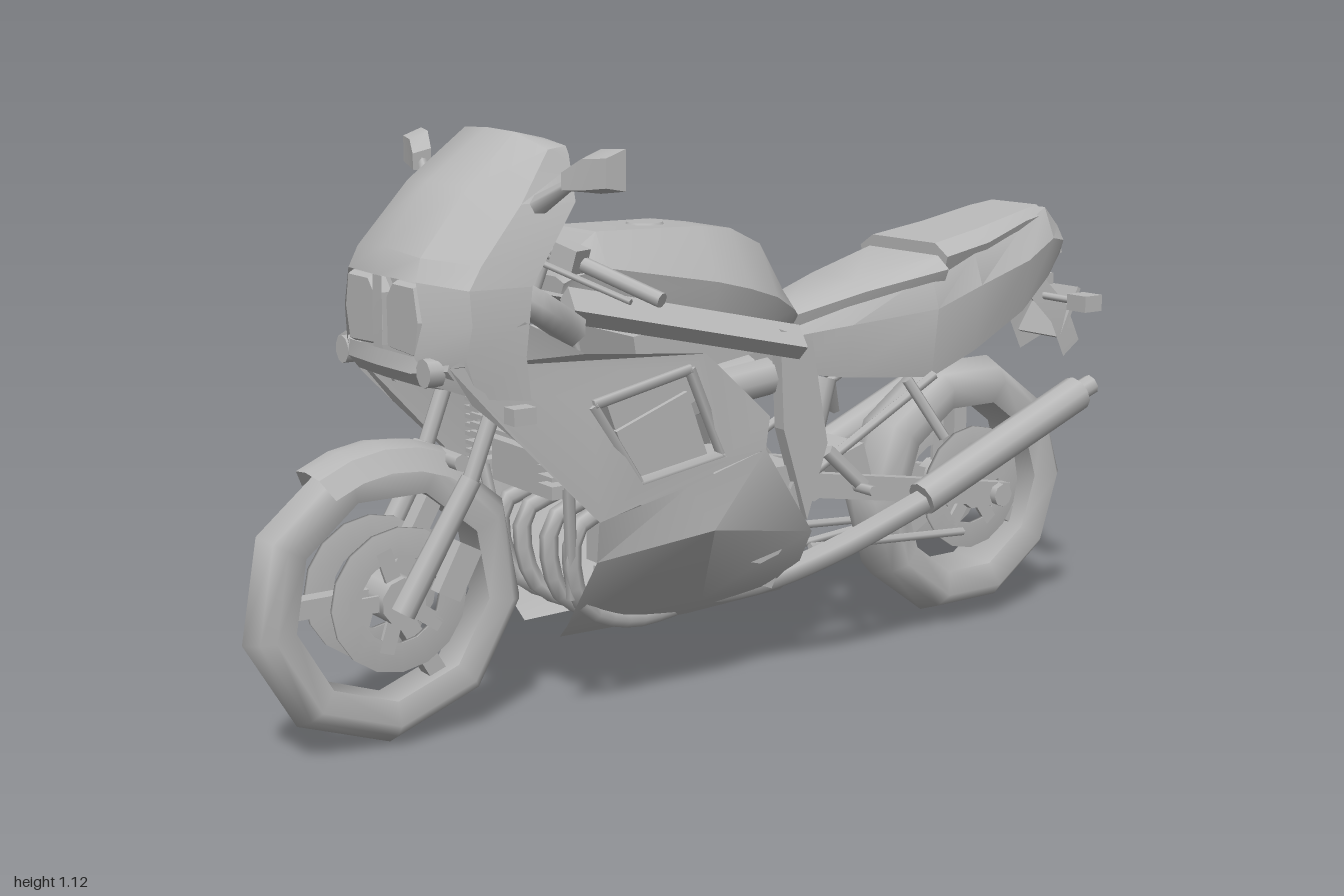
import * as THREE from 'three';
import { toCreasedNormals } from 'three/addons/utils/BufferGeometryUtils.js';

const grey = new THREE.MeshStandardMaterial({ color: 0xb8b8b8, side: THREE.DoubleSide });
grey.name = 'plain grey';
const V = (p) => new THREE.Vector3(...p);

export function createModel() {
  const root = new THREE.Group();
  root.name = 'motorcycle';

  const add = (name, geo, pos = [0, 0, 0], rot = [0, 0, 0], parent = root) => {
    const m = new THREE.Mesh(geo, grey);
    m.name = name;
    m.position.set(...pos);
    m.rotation.set(...rot);
    parent.add(m);
    return m;
  };
  const box = (name, size, pos, rot, parent) => add(name, new THREE.BoxGeometry(...size), pos, rot, parent);
  // Straight round bar between two points
  const bar = (name, a, b, r, r2 = r, sides = 8) => {
    const d = V(b).sub(V(a));
    const m = add(name, new THREE.CylinderGeometry(r2, r, d.length(), sides));
    m.position.copy(V(a)).addScaledVector(d, 0.5);
    m.quaternion.setFromUnitVectors(new THREE.Vector3(0, 1, 0), d.normalize());
    return m;
  };
  const tube = (name, pts, r, seg = 14) =>
    add(name, new THREE.TubeGeometry(new THREE.CatmullRomCurve3(pts.map(V)), seg, r, 6));
  const beam = (name, a, b, w, h) => { // flat-sided beam lying mostly along z
    const d = V(b).sub(V(a));
    const m = box(name, [w, h, d.length()], [0, 0, 0]);
    m.position.copy(V(a)).addScaledVector(d, 0.5);
    m.quaternion.setFromUnitVectors(new THREE.Vector3(0, 0, 1), d.normalize());
  };
  // Skin over rows of points; ring closes each row, and the ends are capped
  const skin = (name, rows, ring = false, crease = 0.6) => {
    const n = rows[0].length, idx = [];
    const pos = rows.flat(2);
    for (let i = 0; i < rows.length - 1; i++)
      for (let j = 0; j < (ring ? n : n - 1); j++) {
        const a = i * n + j, b = i * n + (j + 1) % n;
        idx.push(a, b, a + n, b, b + n, a + n);
      }
    if (ring) for (const [o, f] of [[0, 1], [(rows.length - 1) * n, 0]])
      for (let j = 1; j < n - 1; j++) idx.push(o, o + (f ? j + 1 : j), o + (f ? j : j + 1));
    const g = new THREE.BufferGeometry();
    g.setAttribute('position', new THREE.Float32BufferAttribute(pos, 3));
    g.setIndex(idx);
    return add(name, toCreasedNormals(g, crease));
  };
  const mirrorRow = (row) => [...row.slice(1).reverse().map(([x, y, z]) => [-x, y, z]), ...row];
  const bothSides = (fn) => [1, -1].forEach((s) => fn(s, s > 0 ? 'left' : 'right'));
  const poly = (pts) => pts.map((p) => new THREE.Vector2(...p));

  // Wheels: tyre, rim, three spokes, brake discs, hub
  const wheel = (name, y, z, R, inner, w, sides, turn) => {
    const g = new THREE.Group();
    g.name = name;
    g.position.set(0, y, z);
    g.rotation.x = turn;
    root.add(g);
    const ring = (part, pts, seg) => add(part, new THREE.LatheGeometry(poly(pts), seg),
      [0, 0, 0], [0, 0, Math.PI / 2], g);
    ring('tyre', [[inner, -w * .75], [inner + (R - inner) * .5, -w], [R - .02, -w * .65], [R, 0],
      [R - .02, w * .65], [inner + (R - inner) * .5, w], [inner, w * .75], [inner, -w * .75]], sides);
    for (let i = 0; i < 3; i++) {
      const a = i * Math.PI * 2 / 3;
      box('spoke', [.035, inner, .035], [0, Math.cos(a) * inner / 2, Math.sin(a) * inner / 2], [a, 0, 0], g);
    }
    bothSides((s) => {
      const x = s * .056;
      ring('brakeDisc', [[.08, x - .004], [.135, x - .004], [.135, x + .004], [.08, x + .004], [.08, x - .004]], 16);
      for (let i = 0; i < 5; i++)
        box('discCarrier', [.008, .09, .03], [x, Math.cos(i * 1.257) * .055, Math.sin(i * 1.257) * .055], [i * 1.257, 0, 0], g);
    });
    add('hub', new THREE.CylinderGeometry(.045, .045, .15, 10), [0, 0, 0], [0, 0, Math.PI / 2], g);
  };
  wheel('frontWheel', .287, .715, .285, .197, .052, 9, Math.PI / 2);
  wheel('rearWheel', .305, -.673, .289, .19, .078, 10, 0);

  // Front fender wrapped over the tyre
  const fender = [];
  for (let i = 0; i <= 5; i++) {
    const a = -.68 + i * .245, c = Math.cos(a), s = Math.sin(a);
    fender.push(mirrorRow([[0, .288], [.048, .28], [.07, .24]].map(([x, r]) => [x, .285 + c * r, .715 + s * r])));
  }
  skin('frontFender', fender);

  // Upper cowl and windscreen, rows from top to bottom
  skin('upperCowl', [
    [[0, 1.108, .42], [.09, 1.105, .42], [.165, 1.095, .42], [.175, 1.08, .42]],
    [[0, 1.122, .485], [.09, 1.118, .48], [.17, 1.09, .46], [.18, 1.06, .42]],
    [[0, 1.03, .61], [.11, 1.025, .59], [.195, 1.0, .53], [.212, 1.0, .43]],
    [[0, .92, .70], [.12, .91, .69], [.21, .90, .62], [.222, .90, .50]],
    [[0, .87, .713], [.13, .87, .705], [.22, .86, .65], [.228, .86, .53]],
  ].map(mirrorRow));
  // Nose surround, leaving the lamp openings
  skin('noseBridge', [[.87, .713], [.80, .715], [.74, .715]].map(([y, z]) => mirrorRow([[0, y, z], [.018, y, z]])));
  skin('chinBar', [
    [[0, .74, .715], [.12, .74, .712], [.19, .75, .67]],
    [[0, .71, .72], [.12, .71, .715], [.19, .72, .68]],
    [[0, .685, .70], [.12, .685, .695], [.19, .68, .65]],
  ].map(mirrorRow));
  bothSides((s, side) => {
    skin(side + 'CowlCheek', [
      [[.13, .87, .705], [.22, .86, .65], [.228, .86, .53]],
      [[.15, .80, .705], [.228, .80, .65], [.234, .80, .54]],
      [[.13, .74, .712], [.222, .74, .66], [.238, .74, .55]],
      [[.15, .69, .69], [.215, .67, .635], [.235, .66, .54]],
    ].map((r) => r.map(([x, y, z]) => [x * s, y, z])));
    const lamp = new THREE.Shape(poly([[.018, .74], [.13, .735], [.145, .80], [.13, .865], [.045, .865], [.018, .835]]
      .map(([x, y]) => [x * s, y])));
    add(side + 'Headlight', new THREE.ExtrudeGeometry(lamp,
      { depth: .02, bevelThickness: .012, bevelSize: .006, bevelOffset: -.006, bevelSegments: 1 }), [0, 0, .676]);
    add(side + 'SideLamp', new THREE.CylinderGeometry(.026, .026, .03, 10), [s * .158, .715, .695], [Math.PI / 2, 0, 0]);

    // Mid fairing with the open vent
    const vent = [[.405, .635], [.3, .475], [.1, .5], [.18, .675]];
    const shape = new THREE.Shape(poly([[.69, .73], [.645, .66], [.57, .59], [.4, .42], [0, .5], [-.02, .56],
      [.14, .70], [.42, .73], [.55, .80]]));
    shape.holes.push(new THREE.Path(poly(vent)));
    const mid = new THREE.ShapeGeometry(shape);
    const p = mid.attributes.position;
    for (let i = 0; i < p.count; i++) {
      const z = p.getX(i), y = p.getY(i);
      p.setXYZ(i, s * (.19 + .08 * z + (y < .52 ? .012 : 0) - (z > .6 ? .03 : 0)), y, z);
    }
    add(side + 'MidFairing', toCreasedNormals(mid, .5));
    // Vent frame
    vent.forEach(([z, y], i) => {
      const [z2, y2] = vent[(i + 1) % 4];
      bar(side + 'VentRim', [s * (.188 + .08 * z), y, z], [s * (.188 + .08 * z2), y2, z2], .012, .012, 5);
    });
    // Lower fairing tapering in to the belly
    skin(side + 'LowerFairing', [
      [[.232, .42, .40], [.23, .46, .2], [.202, .50, 0]],
      [[.215, .34, .395], [.243, .37, .15], [.17, .31, -.14]],
      [[.10, .19, .39], [.13, .2, .1], [.11, .2, -.14]],
      [[.065, .16, .385], [.08, .16, .1], [.08, .17, -.13]],
    ].map((r) => r.map(([x, y, z]) => [x * s, y, z])));

    // Mirror, handlebar, lever, front indicator
    skin(side + 'Mirror', [[.27, .022, 1.045, .475], [.31, .038, 1.06, .46], [.365, .036, 1.065, .445]].map(([x, h, y, z]) =>
      [[x * s, y + h, z - .02], [x * s, y + h * .6, z + .02], [x * s, y - h * .8, z + .02], [x * s, y - h, z - .02]]), true);
    bar(side + 'MirrorStem', [s * .185, .99, .5], [s * .28, 1.045, .47], .02, .009, 6);
    bar(side + 'Handlebar', [s * .11, .92, .45], [s * .355, .835, .345], .014);
    bar(side + 'Lever', [s * .15, .90, .49], [s * .34, .835, .40], .006, .006, 5);
    box(side + 'SwitchGear', [.05, .045, .045], [s * .19, .9, .43], [0, .4 * s, -.3 * s]);
    bar(side + 'FrontIndicatorStem', [s * .21, .64, .57], [s * .24, .64, .57], .01);
    box(side + 'FrontIndicator', [.035, .03, .045], [s * .247, .64, .57]);
    // Air duct along the inside of the cowl
    tube(side + 'AirDuct', [[s * .03, .88, .60], [s * .13, .87, .58], [s * .18, .82, .50], [s * .15, .76, .40]], .032);

    // Fork
    bar(side + 'ForkSlider', [s * .085, .27, .725], [s * .095, .5, .585], .024, .02);
    bar(side + 'ForkTube', [s * .095, .49, .59], [s * .1, .92, .42], .016);
    box(side + 'BrakeCaliper', [.03, .1, .05], [s * .078, .33, .61], [-.5, 0, 0]);

    // Frame
    beam(side + 'FrameSpar', [s * .1, .80, .38], [s * .15, .69, -.12], .035, .06);
    const plate = new THREE.ExtrudeGeometry(new THREE.Shape(poly(
      [[.07, .72], [.15, .69], [.19, .48], [.14, .33], [.08, .52]])), { depth: .03, bevelEnabled: false });
    add(side + 'FramePlate', plate, [s * .14 + .015, 0, 0], [0, Math.PI / 2, 0]).scale.z = -1;
    beam(side + 'FrameFoot', [s * .13, .40, -.14], [s * .1, .2, -.06], .03, .05);
    bar(side + 'SubframeTube', [s * .13, .42, -.18], [s * .12, .58, -.5], .011, .011, 6);
    beam(side + 'Swingarm', [s * .11, .39, -.17], [s * .11, .295, -.72], .028, .05);
    bar(side + 'ChainRun', [s * .09, .25, -.2], [s * .09, .22, -.62], .009, .009, 5);
    add(side + 'AxleCap', new THREE.CylinderGeometry(.025, .025, .05, 8), [s * .115, .3, -.69], [0, 0, Math.PI / 2]);

    // Footpegs and hangers
    bar(side + 'FootrestHanger', [s * .14, .46, -.2], [s * .16, .38, -.28], .016, .016, 5);
    bar(side + 'Footpeg', [s * .15, .38, -.27], [s * .205, .38, -.27], .011, .011, 6);
    bar(side + 'RearFootrestHanger', [s * .13, .58, -.42], [s * .18, .46, -.48], .012, .012, 5);

    // Exhaust
    bar(side + 'Muffler', [s * .203, .345, -.40], [s * .21, .52, -.83], .036, .038, 10);
    bar(side + 'MufflerTip', [s * .21, .52, -.83], [s * .212, .535, -.87], .022, .022);
    tube(side + 'ExhaustPipe', [[s * .07, .19, .1], [s * .09, .2, -.08], [s * .15, .255, -.22], [s * .203, .345, -.42]], .027);
    [.045, .12].forEach((x) => tube(side + 'Header',
      [[s * x, .42, .3], [s * x * 1.1, .38, .39], [s * x, .24, .37], [s * x * .8, .18, .25], [s * .06, .18, .05]], .018));

    // Radiator end tank with fins
    for (let i = 0; i < 8; i++) box(side + 'RadiatorFin', [.05, .008, .05], [s * .135, .475 + i * .017, .43]);
    bar(side + 'RadiatorStay', [s * .16, .48, .42], [s * .12, .25, .39], .012, .012, 6);
    // Rear indicators and cables
    bar(side + 'RearIndicatorStem', [s * .05, .71, -.87], [s * .15, .705, -.89], .008);
    box(side + 'RearIndicator', [.055, .035, .05], [s * .165, .705, -.89]);
    tube(side + 'ControlCable', [[s * .17, .9, .46], [s * .15, .97, .55], [s * .1, .85, .56], [s * .05, .7, .48]], .005);
  });

  // Steering head, dash
  box('upperYoke', [.24, .03, .07], [0, .89, .43], [-.35, 0, 0]);
  box('lowerYoke', [.23, .04, .07], [0, .69, .505], [-.35, 0, 0]);
  bar('steeringHead', [0, .68, .48], [0, .88, .4], .03);
  bar('forkBrace', [-.09, .53, .6], [.09, .53, .6], .016);
  box('instrumentPanel', [.24, .08, .05], [0, .93, .56], [-.5, 0, 0]);
  [-.07, .07].forEach((x) => add('gauge', new THREE.CylinderGeometry(.045, .04, .05, 10), [x, .95, .53], [-.5, 0, 0]));
  box('headlightHousing', [.36, .14, .06], [0, .8, .62]);

  // Radiator, oil cooler, engine
  box('radiatorCore', [.22, .2, .03], [0, .54, .41]);
  for (let i = 0; i < 8; i++) box('coolerSlat', [.28, .008, .05], [0, .53 + i * .018, .43]);
  box('cylinderBlock', [.32, .2, .17], [0, .5, .2], [.35, 0, 0]);
  box('cylinderHead', [.3, .08, .2], [0, .61, .22], [.35, 0, 0]);
  box('crankcase', [.26, .2, .34], [0, .34, .03]);
  box('oilPan', [.13, .07, .25], [0, .21, .1]);
  bar('clutchCover', [-.16, .35, -.02], [.16, .35, -.02], .09, .09, 12);
  for (let i = 0; i < 4; i++) bar('carburettor', [-.105 + i * .07, .6, .1], [-.105 + i * .07, .62, -.08], .038);
  box('airBox', [.2, .1, .3], [0, .7, .08], [.15, 0, 0]);
  bar('rearShock', [0, .3, -.22], [0, .58, -.3], .03, .03, 10);
  bar('swingarmPivot', [-.14, .39, -.17], [.14, .39, -.17], .03);
  box('swingarmBridge', [.2, .09, .07], [0, .40, -.31], [.3, 0, 0]);
  bar('torqueArm', [-.07, .2, -.22], [-.07, .23, -.62], .009, .009, 6);
  box('rearCaliper', [.03, .06, .09], [-.075, .4, -.62], [.4, 0, 0]);

  // Tank, tail and seats: sections along z as [z, halfWidth, topHalf, top, shoulder, bottom]
  const hull = (name, list) => skin(name, list.map(([z, w, t, top, sh, bot]) => [
    [-t, top, z], [t, top, z], [w, sh, z], [w * .88, bot, z], [-w * .88, bot, z], [-w, sh, z],
  ].map(([x, y, q]) => [x - .018, y, q])), true, .5);
  hull('fuelTank', [
    [.37, .09, .06, .845, .835, .815], [.345, .105, .07, .885, .85, .81], [.29, .115, .075, .925, .86, .80],
    [.06, .15, .085, .922, .82, .755], [-.02, .145, .075, .912, .80, .74],
    [-.1, .125, .065, .875, .775, .725], [-.17, .09, .05, .775, .74, .71], [-.19, .075, .04, .735, .725, .71],
  ]);
  add('fuelCap', new THREE.CylinderGeometry(.035, .04, .008, 10), [-.018, .923, .13]);
  hull('tailFairing', [
    [-.155, .07, .05, .71, .68, .61], [-.3, .115, .09, .745, .70, .59], [-.5, .15, .125, .795, .72, .575],
    [-.62, .15, .125, .825, .76, .62], [-.77, .135, .1, .86, .80, .69], [-.86, .115, .085, .905, .84, .755],
    [-.915, .09, .07, .86, .83, .80],
  ]);
  hull('riderSeat', [
    [-.18, .075, .04, .74, .725, .69], [-.34, .11, .07, .785, .765, .72], [-.53, .145, .11, .825, .80, .76],
  ]);
  hull('passengerSeat', [
    [-.53, .14, .1, .85, .825, .77], [-.66, .125, .09, .872, .845, .80], [-.79, .10, .08, .90, .88, .83],
    [-.85, .09, .07, .91, .89, .85],
  ]);
  box('tailLight', [.15, .05, .03], [-.018, .82, -.905], [.3, 0, 0]);

  // Rear mudguard and plate holder
  skin('rearMudguard', [[-.6, .64], [-.78, .71], [-.88, .745], [-.95, .68], [-.99, .6]].map(([z, y]) =>
    mirrorRow([[0, y, z], [.055, y, z], [.068, y - .03, z + .06]])));
  box('plateHolder', [.13, .12, .01], [0, .665, -.95], [-.45, 0, 0]);
  box('plateLamp', [.06, .025, .03], [0, .74, -.915]);
  return root;
}
